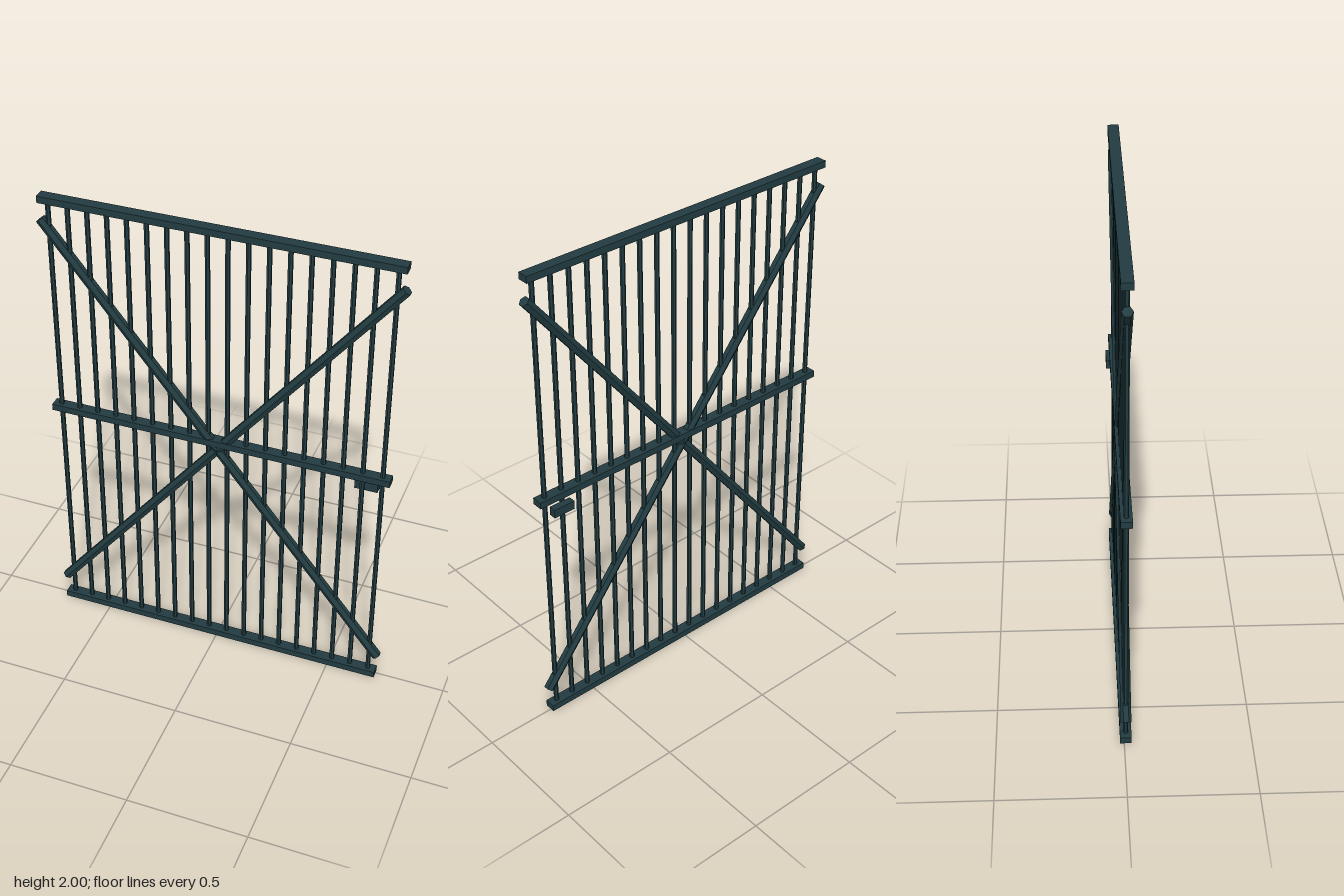
import * as THREE from 'three';

export function createModel() {
  const gate = new THREE.Group();
  gate.name = 'barredGate';
  const iron = new THREE.MeshStandardMaterial({ color: 0x223c41, flatShading: true });
  iron.name = 'darkIron';
  const planeZ = 0.0065; // middle plane of the ironwork

  const add = (name, geometry, x, y, z) => {
    const mesh = new THREE.Mesh(geometry, iron);
    mesh.name = name;
    mesh.position.set(x, y, z);
    gate.add(mesh);
    return mesh;
  };

  // Horizontal rails
  const rail = new THREE.BoxGeometry(1.416, 0.028, 0.045);
  add('bottomRail', rail, 0, 0.014, planeZ);
  add('middleRail', rail, 0, 1.038, planeZ);
  add('topRail', rail, 0, 1.986, planeZ);

  // Upright bars
  const bar = new THREE.CylinderGeometry(0.01, 0.01, 1.96, 6);
  const count = 18, half = 0.674;
  for (let i = 0; i < count; i++) {
    add('uprightBar' + (i + 1), bar, -half + (2 * half * i) / (count - 1), 1, planeZ);
  }

  // Crossed diagonal braces
  const dx = 0.708, dy = 0.893;
  const brace = new THREE.CylinderGeometry(0.021, 0.021, 2 * Math.hypot(dx, dy), 6);
  for (const side of [-1, 1]) {
    const mesh = add(side < 0 ? 'risingBrace' : 'fallingBrace', brace, 0, 1.002, planeZ);
    mesh.rotation.z = side * Math.atan2(dx, dy);
  }

  // Latch on the back
  add('latch', new THREE.BoxGeometry(0.093, 0.037, 0.03), 0.609, 0.982, -0.014);

  return gate;
}
